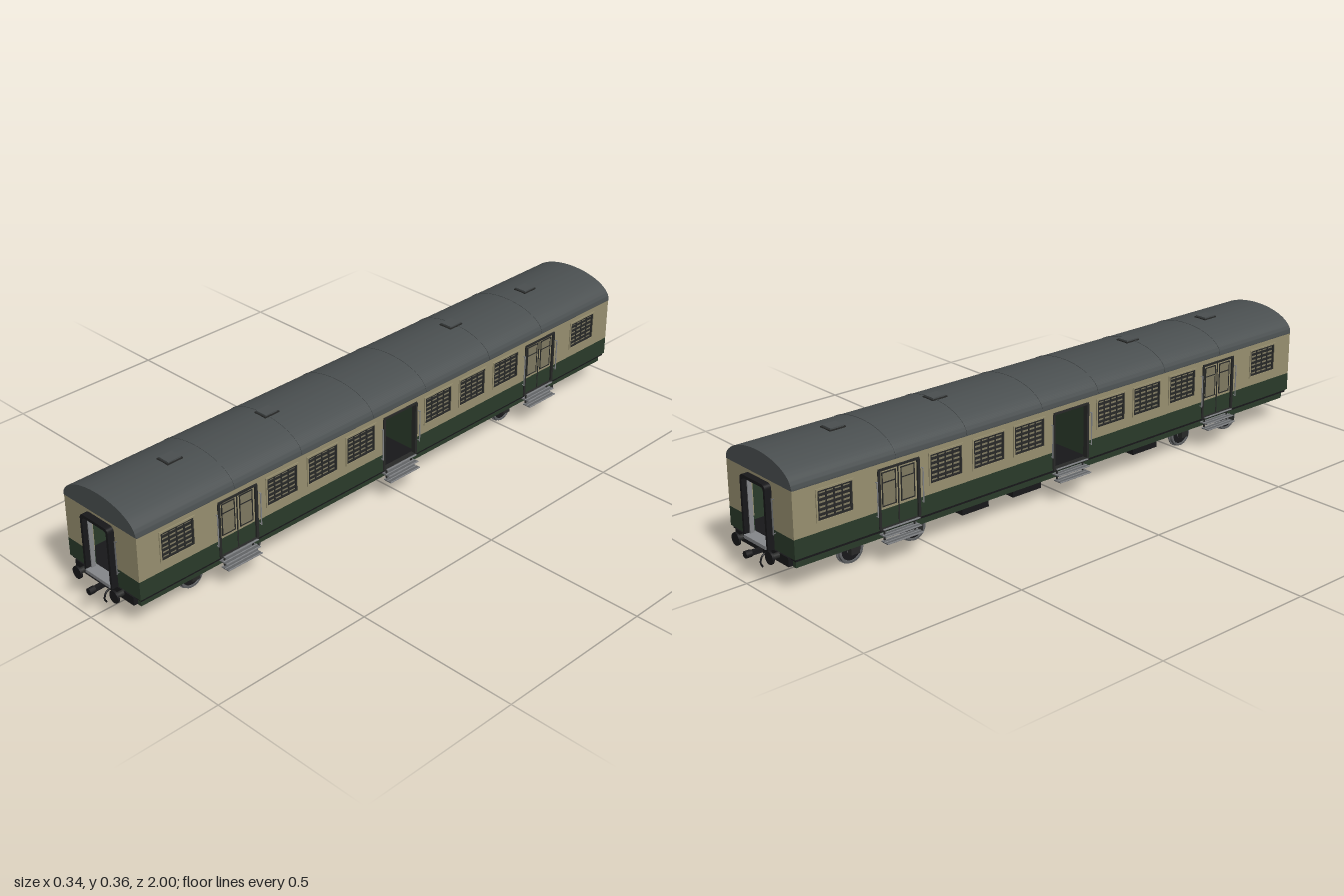
import * as THREE from 'three';
import { toCreasedNormals } from 'three/addons/utils/BufferGeometryUtils.js';

const mat = (name, color) => {
  const m = new THREE.MeshStandardMaterial({ color });
  m.name = name;
  return m;
};

export function createModel() {
  const cream = mat('cream paint', 0x989070), green = mat('green paint', 0x2a3b2a);
  const roofGrey = mat('roof grey', 0x4a4f50), black = mat('underframe black', 0x18181a);
  const dark = mat('dark trim', 0x282928), steel = mat('steel', 0x85878a);
  const pane = mat('olive pane', 0x7f7961), wheelGrey = mat('wheel grey', 0x626466);

  const model = new THREE.Group();
  model.name = 'railwayCarriage';
  const add = (parent, name, geo, material, x = 0, y = 0, z = 0) => {
    const m = new THREE.Mesh(geo, material);
    m.name = name;
    m.position.set(x, y, z);
    parent.add(m);
    return m;
  };
  // box given by its limits on each axis
  const box = (parent, name, material, x0, x1, y0, y1, z0, z1) =>
    add(parent, name, new THREE.BoxGeometry(x1 - x0, y1 - y0, z1 - z0), material,
      (x0 + x1) / 2, (y0 + y1) / 2, (z0 + z1) / 2);
  const cyl = (parent, name, material, r, len, axis, x, y, z, seg = 20) => {
    const g = new THREE.CylinderGeometry(r, r, len, seg);
    if (axis === 'x') g.rotateZ(Math.PI / 2);
    if (axis === 'z') g.rotateX(Math.PI / 2);
    return add(parent, name, g, material, x, y, z);
  };
  const rect = (T, x0, x1, y0, y1) => {
    const s = new T();
    s.moveTo(x0, y0).lineTo(x1, y0).lineTo(x1, y1).lineTo(x0, y1).closePath();
    return s;
  };

  const W = 0.147, L = 0.945, DOOR = 0.613, HALF = 0.067;

  // Roof: half ellipse run along the length, with seams and vents
  const arch = (grow) => {
    const s = new THREE.Shape();
    s.moveTo(W + grow, 0.288);
    s.absellipse(0, 0.29, W + grow, 0.066 + grow, 0, Math.PI, false, 0);
    s.lineTo(-W - grow, 0.288);
    return s;
  };
  const archGeo = (grow, depth) => toCreasedNormals(new THREE.ExtrudeGeometry(arch(grow),
    { depth, bevelEnabled: false, curveSegments: 32 }).translate(0, 0, -depth / 2), 0.6);
  add(model, 'roof', archGeo(0.0005, 2 * L + 0.004), roofGrey);
  for (const z of [-0.62, -0.38, -0.107, 0.107, 0.38, 0.62])
    add(model, 'roofSeam', archGeo(0.0018, 0.004), roofGrey, 0, 0, z);
  for (const z of [-0.71, -0.37, 0.37, 0.71]) {
    box(model, 'roofVentBase', dark, -0.022, 0.022, 0.35, 0.359, z - 0.026, z + 0.026);
    box(model, 'roofVentCap', roofGrey, -0.019, 0.019, 0.355, 0.363, z - 0.022, z + 0.022);
  }

  // Floor, underframe and inner partitions
  box(model, 'floor', black, -W + 0.004, W - 0.004, 0.092, 0.102, -L + 0.004, L - 0.004);
  box(model, 'underframe', black, -0.12, 0.12, 0.073, 0.094, -L + 0.005, L - 0.005);
  for (const z of [-0.72, -0.08, 0.08, 0.72])
    box(model, 'partition', green, -0.134, 0.134, 0.102, 0.289, z - 0.004, z + 0.004);

  // One side of the carriage, facing +x
  const spans = [
    [-L, -DOOR - HALF, [-0.817]],
    [-DOOR + HALF, -HALF, [-0.455, -0.305, -0.158]],
    [HALF, DOOR - HALF, [0.158, 0.305, 0.455]],
    [DOOR + HALF, L, [0.817]],
  ];
  const WIN = 0.056, Y0 = 0.184, Y1 = 0.27;
  // flat shape drawn in (-z, y), extruded towards +x
  const sidePlate = (parent, name, shape, material, x, depth) => {
    const g = new THREE.ExtrudeGeometry(shape, { depth, bevelEnabled: false });
    return add(parent, name, g.rotateY(Math.PI / 2), material, x);
  };
  const frame = (z, hw, y0, y1, t) => {
    const s = rect(THREE.Shape, -z - hw, -z + hw, y0, y1);
    s.holes.push(rect(THREE.Path, -z - hw + t, -z + hw - t, y0 + t, y1 - t));
    return s;
  };
  function buildSide() {
    const side = new THREE.Group();
    side.name = 'side';
    for (const [z0, z1, windows] of spans) {
      box(side, 'lowerPanel', green, W - 0.012, W, 0.1, 0.155, z0, z1);
      const wall = rect(THREE.Shape, -z1, -z0, 0.155, 0.29);
      for (const z of windows)
        wall.holes.push(rect(THREE.Path, -z - WIN + 0.003, -z + WIN - 0.003, Y0 + 0.003, Y1 - 0.003));
      sidePlate(side, 'upperPanel', wall, cream, W - 0.012, 0.012);
      for (const z of windows) {
        sidePlate(side, 'windowSurround', frame(z, WIN + 0.003, Y0 - 0.003, Y1 + 0.003, 0.005), cream, W - 0.004, 0.007);
        sidePlate(side, 'windowFrame', frame(z, WIN - 0.002, Y0 + 0.002, Y1 - 0.002, 0.005), dark, W - 0.004, 0.005);
        box(side, 'windowPane', pane, W - 0.012, W - 0.003, Y0 + 0.002, Y1 - 0.002, z - WIN + 0.002, z + WIN - 0.002);
        // louvre bars and uprights
        for (let i = 0; i < 5; i++) {
          const y = Y0 + 0.016 + i * 0.0135;
          box(side, 'windowBar', dark, W - 0.004, W - 0.001, y - 0.0035, y + 0.0035, z - WIN + 0.004, z + WIN - 0.004);
        }
        for (const d of [-0.025, 0, 0.025])
          box(side, 'windowMullion', dark, W - 0.004, W - 0.001, Y0 + 0.004, Y1 - 0.004, z + d - 0.002, z + d + 0.002);
      }
    }
    box(side, 'sill', green, 0.119, 0.133, 0.07, 0.101, -L + 0.01, L - 0.01);
    box(side, 'gutter', roofGrey, W - 0.002, W + 0.002, 0.288, 0.291, -L, L);

    for (const z of [-DOOR, 0, DOOR]) {
      // door surround, handrails and three treads
      box(side, 'doorHeader', cream, W - 0.012, W, 0.272, 0.29, z - HALF, z + HALF);
      box(side, 'doorLintel', dark, W - 0.012, W + 0.004, 0.267, 0.273, z - HALF, z + HALF);
      box(side, 'doorSill', dark, W - 0.012, W + 0.004, 0.099, 0.105, z - HALF, z + HALF);
      for (const s of [-1, 1]) {
        box(side, 'doorJamb', dark, W - 0.012, W + 0.003, 0.105, 0.268, z + s * 0.065 - 0.004, z + s * 0.065 + 0.004);
        cyl(side, 'doorHandrail', steel, 0.0018, 0.1, 'y', W + 0.007, 0.192, z + s * 0.075, 8);
        for (const y of [0.144, 0.24])
          cyl(side, 'railBracket', steel, 0.0015, 0.008, 'x', W + 0.003, y, z + s * 0.075, 8);
        box(side, 'stepHanger', dark, 0.142, 0.146, 0.066, 0.102, z + s * 0.05 - 0.002, z + s * 0.05 + 0.002);
      }
      for (const [x0, x1, y] of [[0.14, 0.157, 0.103], [0.136, 0.164, 0.084], [0.143, 0.171, 0.067]]) {
        box(side, 'stepTread', wheelGrey, x0, x1, y - 0.0015, y + 0.001, z - 0.06, z + 0.06);
        for (const x of [x0 + 0.001, (x0 + x1) / 2, x1 - 0.001])
          box(side, 'stepSlat', steel, x - 0.0015, x + 0.0015, y - 0.001, y + 0.0018, z - 0.06, z + 0.06);
      }
      if (z === 0) continue;
      // closed pair of door leaves
      for (const s of [-1, 1]) {
        const c = z + s * 0.031;
        box(side, 'doorLeafLower', green, W - 0.012, W - 0.003, 0.105, 0.155, c - 0.03, c + 0.03);
        box(side, 'doorLeafUpper', cream, W - 0.012, W - 0.003, 0.155, 0.268, c - 0.03, c + 0.03);
        sidePlate(side, 'doorWindowFrame', frame(c, 0.023, 0.163, 0.26, 0.003), dark, W - 0.004, 0.003);
        box(side, 'doorWindow', pane, W - 0.005, W - 0.002, 0.165, 0.258, c - 0.021, c + 0.021);
        box(side, 'doorWindowBar', dark, W - 0.004, W - 0.001, 0.229, 0.232, c - 0.021, c + 0.021);
      }
      box(side, 'doorSplit', dark, W - 0.012, W - 0.002, 0.105, 0.268, z - 0.002, z + 0.002);
    }
    return side;
  }

  // One end of the carriage, facing +z
  function buildEnd() {
    const end = new THREE.Group();
    end.name = 'end';
    for (const s of [-1, 1]) {
      const [a, b] = s > 0 ? [0.05, W] : [-W, -0.05];
      box(end, 'endLowerPanel', green, a, b, 0.1, 0.155, L - 0.012, L + 0.001);
      box(end, 'endUpperPanel', cream, a, b, 0.155, 0.29, L - 0.012, L + 0.001);
      box(end, 'vestibuleLining', green, s * 0.133 - 0.002, s * 0.133 + 0.002, 0.102, 0.288, 0.724, L - 0.012);
      box(end, 'gangwayPost', steel, s * 0.044 - 0.0015, s * 0.044 + 0.0015, 0.11, 0.265, L - 0.005, L + 0.008);
      cyl(end, 'endHandrail', wheelGrey, 0.002, 0.1, 'y', s * 0.066, 0.195, L + 0.008, 8);
      for (const y of [0.148, 0.242])
        cyl(end, 'railBracket', wheelGrey, 0.0015, 0.009, 'z', s * 0.066, y, L + 0.004, 8);
      cyl(end, 'bufferShank', dark, 0.008, 0.03, 'z', s * 0.077, 0.092, L + 0.013);
      cyl(end, 'bufferHead', black, 0.018, 0.006, 'z', s * 0.077, 0.092, L + 0.03, 28);
    }
    box(end, 'endHeader', cream, -0.05, 0.05, 0.272, 0.29, L - 0.012, L + 0.001);
    // gangway frame with rounded top corners
    const ring = new THREE.Shape();
    ring.moveTo(-0.057, 0.1).lineTo(0.057, 0.1).lineTo(0.057, 0.266).quadraticCurveTo(0.057, 0.281, 0.042, 0.281);
    ring.lineTo(-0.042, 0.281).quadraticCurveTo(-0.057, 0.281, -0.057, 0.266).closePath();
    const gap = new THREE.Path();
    gap.moveTo(-0.049, 0.106).lineTo(0.049, 0.106).lineTo(0.049, 0.262).quadraticCurveTo(0.049, 0.272, 0.039, 0.272);
    gap.lineTo(-0.039, 0.272).quadraticCurveTo(-0.049, 0.272, -0.049, 0.262).closePath();
    ring.holes.push(gap);
    add(end, 'gangwayFrame', new THREE.ExtrudeGeometry(ring, { depth: 0.022, bevelEnabled: false }), black, 0, 0, L - 0.001);
    box(end, 'gangwayPlate', steel, -0.05, 0.05, 0.102, 0.112, L - 0.012, L + 0.024);
    box(end, 'headstock', black, -0.121, 0.121, 0.073, 0.099, L - 0.015, L + 0.004);
    // coupling and brake hose
    box(end, 'couplerBar', black, -0.006, 0.006, 0.075, 0.087, L, 0.985);
    cyl(end, 'couplerHead', black, 0.01, 0.018, 'z', 0, 0.081, 0.991, 12);
    const hose = new THREE.CatmullRomCurve3([[0.03, 0.085, L], [0.032, 0.08, 0.968], [0.031, 0.062, 0.974], [0.027, 0.047, 0.966]]
      .map((p) => new THREE.Vector3(...p)));
    add(end, 'brakeHose', new THREE.TubeGeometry(hose, 16, 0.0025, 8), black);
    return end;
  }

  for (const angle of [0, Math.PI]) {
    for (const part of [buildSide(), buildEnd()]) {
      part.rotation.y = angle;
      model.add(part);
    }
  }

  // Bogies: two wheelsets each, with axle boxes and side beams
  const wheelProfile = [[0.0, -0.007], [0.036, -0.007], [0.042, -0.007], [0.042, -0.003], [0.039, -0.002],
    [0.038, 0.007], [0.032, 0.007], [0.031, 0.003], [0.014, 0.003], [0.013, 0.009], [0, 0.009]];
  const wheelGeo = toCreasedNormals(new THREE.LatheGeometry(
    wheelProfile.map(([r, y]) => new THREE.Vector2(r, y)), 32).rotateZ(-Math.PI / 2), 0.6);
  for (const c of [-0.625, 0.625]) {
    const bogie = new THREE.Group();
    bogie.name = 'bogie';
    bogie.position.z = c;
    model.add(bogie);
    box(bogie, 'bolster', black, -0.1, 0.1, 0.055, 0.075, -0.03, 0.03);
    for (const s of [-1, 1]) {
      box(bogie, 'sideBeam', black, s * 0.099 - 0.005, s * 0.099 + 0.005, 0.055, 0.068, -0.14, 0.14);
      for (const z of [-0.105, 0.105]) {
        const wheel = add(bogie, 'wheel', wheelGeo, wheelGrey, s * 0.081, 0.042, z);
        if (s < 0) wheel.rotation.y = Math.PI;
        cyl(bogie, 'wheelCentre', black, 0.031, 0.002, 'x', s * 0.0845, 0.042, z, 28);
        cyl(bogie, 'wheelBack', black, 0.033, 0.002, 'x', s * 0.0738, 0.042, z, 28);
        box(bogie, 'axleBox', dark, s * 0.098 - 0.008, s * 0.098 + 0.008, 0.035, 0.06, z - 0.014, z + 0.014);
      }
    }
    for (const z of [-0.105, 0.105]) cyl(bogie, 'axle', steel, 0.006, 0.16, 'x', 0, 0.044, z, 16);
  }

  // Equipment below the floor: small boxes on the right, a long one in the middle
  for (const [z0, z1] of [[0.285, 0.385], [-0.19, -0.085], [-0.375, -0.28]])
    box(model, 'equipmentBox', black, -0.115, -0.05, 0.042, 0.075, z0, z1);
  box(model, 'longEquipmentBox', black, -0.045, 0.045, 0.033, 0.075, 0.04, 0.27);

  return model;
}
